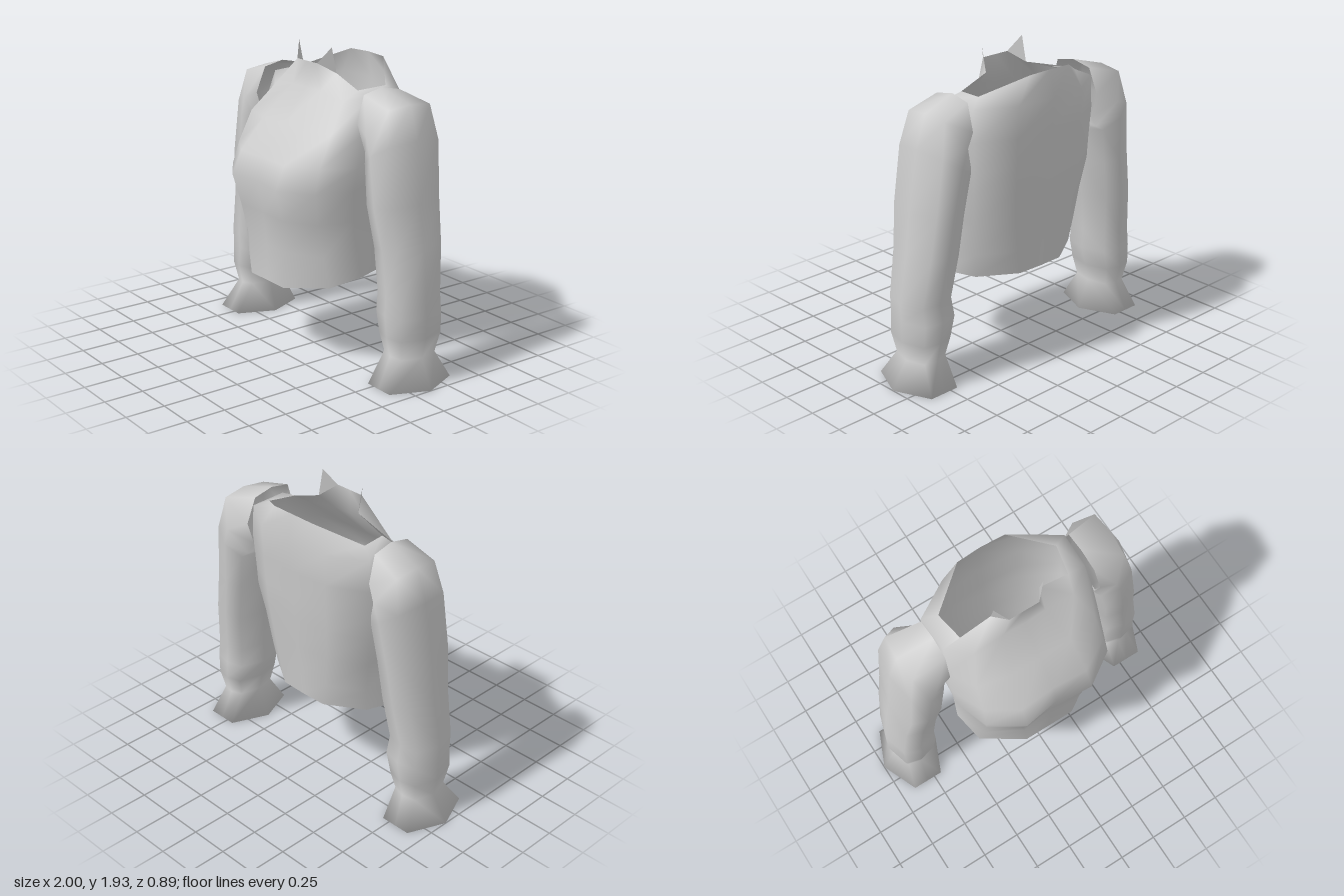
import * as THREE from 'three';

const cloth = new THREE.MeshStandardMaterial({ color: 0xcccccc, side: THREE.DoubleSide });
cloth.name = 'grey cloth';

// Skin a stack of closed rings (bottom to top) with smooth shared normals
function loft(name, rings, flip = false) {
  const n = rings[0].length, index = [];
  for (let r = 0; r < rings.length - 1; r++) {
    for (let i = 0; i < n; i++) {
      const a = r * n + i, b = r * n + (i + 1) % n, c = b + n, d = a + n;
      if (flip) index.push(a, c, b, a, d, c);
      else index.push(a, b, c, a, c, d);
    }
  }
  const geo = new THREE.BufferGeometry();
  geo.setAttribute('position', new THREE.Float32BufferAttribute(rings.flat(2), 3));
  geo.setIndex(index);
  geo.computeVertexNormals();
  const mesh = new THREE.Mesh(geo, cloth);
  mesh.name = name;
  return mesh;
}

// Complete a half ring (front centre, round the left side, back centre)
const mirrorRing = (half) =>
  [...half, ...half.slice(1, -1).reverse().map(([x, y, z]) => [-x, y, z])];

// Half ring at one height from [x, z] pairs
const level = (y, ...xz) => xz.map(([x, z]) => [x, y, z]);

function makeBodice() {
  const halves = [
    // hem
    [[0, 0.5, 0.355], [0.17, 0.5, 0.355], [0.43, 0.54, 0.2], [0.47, 0.575, 0], [0.4, 0.575, -0.2], [0.17, 0.575, -0.345], [0, 0.575, -0.35]],
    level(0.73, [0, 0.355], [0.19, 0.355], [0.41, 0.23], [0.47, 0.03], [0.42, -0.22], [0.2, -0.355], [0, -0.365]),
    level(0.94, [0, 0.38], [0.22, 0.39], [0.41, 0.27], [0.475, 0.06], [0.45, -0.24], [0.23, -0.37], [0, -0.385]),
    // bust
    level(1.14, [0, 0.41], [0.23, 0.447], [0.435, 0.31], [0.505, 0.08], [0.48, -0.27], [0.25, -0.39], [0, -0.41]),
    level(1.28, [0, 0.37], [0.225, 0.385], [0.42, 0.27], [0.515, 0.06], [0.48, -0.28], [0.255, -0.4], [0, -0.418]),
    level(1.47, [0, 0.225], [0.21, 0.225], [0.41, 0.18], [0.5, 0.02], [0.49, -0.29], [0.26, -0.41], [0, -0.432]),
    // shoulders
    [[0, 1.67, 0.06], [0.14, 1.67, 0.055], [0.34, 1.63, 0.05], [0.48, 1.68, -0.05], [0.49, 1.67, -0.28], [0.26, 1.67, -0.42], [0, 1.67, -0.447]],
    // neckline
    [[0, 1.83, 0.05], [0.1, 1.83, 0.05], [0.165, 1.77, -0.045], [0.365, 1.7, -0.05], [0.4, 1.715, -0.23], [0.16, 1.83, -0.405], [0, 1.835, -0.412]],
  ];
  return loft('bodice', halves.map(mirrorRing));
}

// Pointed collar tip at each side of the front neckline
function makeCollarPoint(side) {
  const pts = [[0.1, 1.83, 0.05], [0.165, 1.77, -0.045], [0.165, 1.93, -0.01]];
  const geo = new THREE.BufferGeometry();
  geo.setAttribute('position', new THREE.Float32BufferAttribute(pts.flatMap(([x, y, z]) => [side * x, y, z]), 3));
  geo.setIndex(side > 0 ? [0, 1, 2] : [0, 2, 1]);
  geo.computeVertexNormals();
  const mesh = new THREE.Mesh(geo, cloth);
  mesh.name = side > 0 ? 'leftCollarPoint' : 'rightCollarPoint';
  return mesh;
}

// Sleeve sections: outer x, y, inner x, y, front z, back z, corner fullness along and across
const sections = [
  [0.8, 0.015, 0.8, 0.015, -0.11, -0.11, 0.5, 1],   // closed cuff centre
  [1.0, 0, 0.6, 0, 0.115, -0.355, 0.5, 1],          // cuff rim
  [0.9, 0.17, 0.67, 0.19, 0.02, -0.28, 0.7, 0.85],  // wrist
  [0.93, 0.3, 0.64, 0.31, 0.05, -0.31, 0.7, 0.85],
  [0.93, 0.43, 0.605, 0.44, 0.05, -0.315, 0.7, 0.85],
  [0.93, 0.54, 0.62, 0.56, 0.05, -0.3, 0.7, 0.85],
  [0.89, 0.84, 0.585, 0.82, 0.055, -0.335, 0.7, 0.85],
  [0.85, 1.1, 0.55, 1.07, 0.09, -0.35, 0.7, 0.85],
  [0.8, 1.47, 0.52, 1.29, 0.09, -0.38, 0.75, 0.8],
  [0.73, 1.67, 0.515, 1.32, 0.09, -0.385, 0.9, 0.65], // shoulder cap
  [0.5, 1.735, 0.53, 1.36, 0.07, -0.31, 0.85, 0.7],   // armhole edge
];

function makeSleeve(side) {
  const rings = sections.map(([ox, oy, ix, iy, zf, zb, a, b]) => {
    const corners = [[1, 0], [a, -b], [0, -1], [-a, -b], [-1, 0], [-a, b], [0, 1], [a, b]];
    return corners.map(([u, v]) => {
      const t = (1 - u) / 2;
      return [
        side * (ox + (ix - ox) * t),
        oy + (iy - oy) * t,
        (zf + zb) / 2 + v * (zf - zb) / 2,
      ];
    });
  });
  return loft(side > 0 ? 'leftSleeve' : 'rightSleeve', rings, side < 0);
}

export function createModel() {
  const model = new THREE.Group();
  model.name = 'croppedBlouse';
  model.add(makeBodice());
  for (const side of [1, -1]) model.add(makeCollarPoint(side), makeSleeve(side));
  return model;
}
